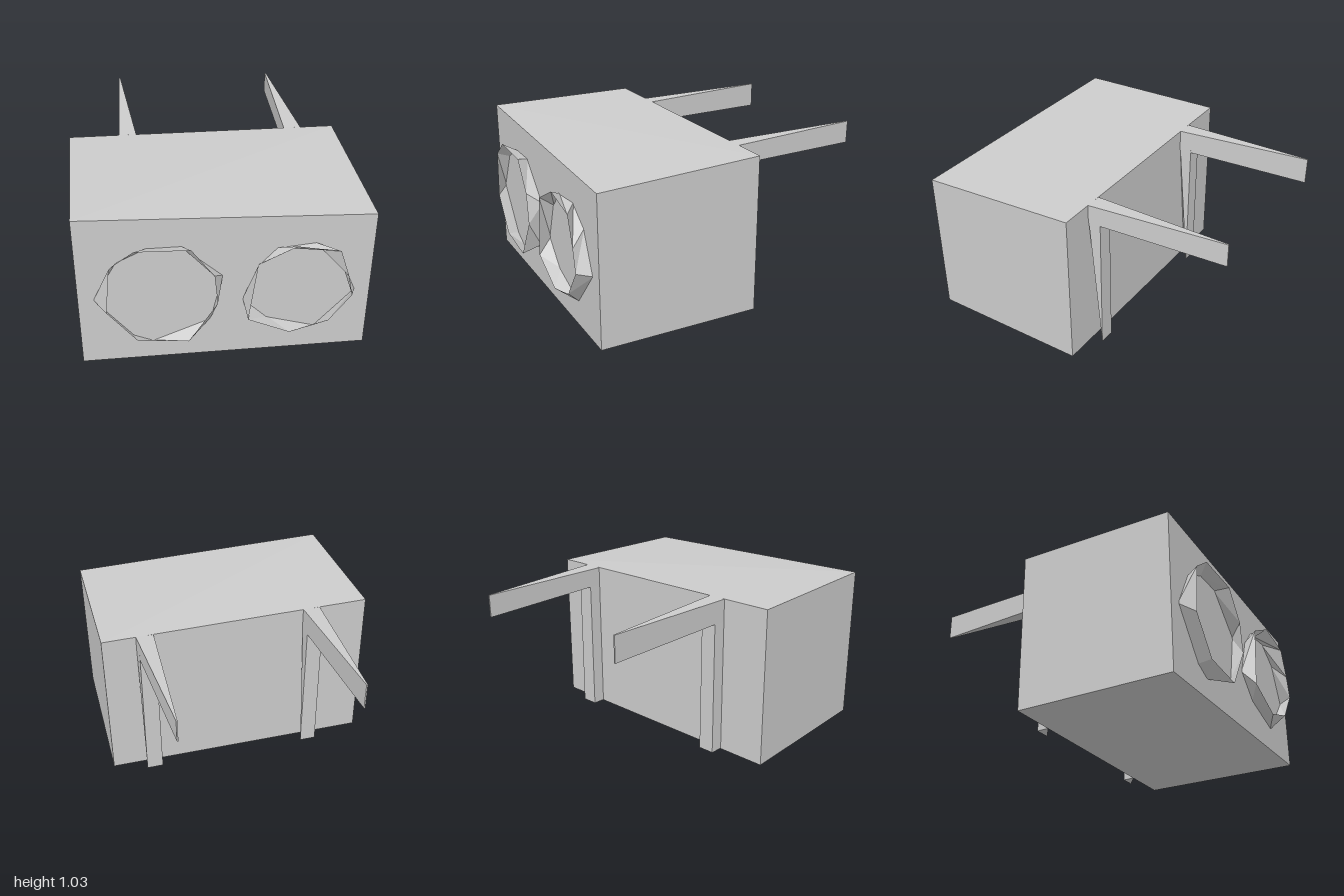
import * as THREE from 'three';

const material = new THREE.MeshStandardMaterial({ color: 0xcccccc, flatShading: true });
const sheet = new THREE.MeshStandardMaterial({ color: 0xcccccc, flatShading: true, side: THREE.DoubleSide });

function addMesh(parent, name, geometry, mat) {
  geometry.computeVertexNormals();
  const mesh = new THREE.Mesh(geometry, mat);
  mesh.name = name;
  parent.add(mesh);
}

// The front panel is slightly skewed in plan
const frontZ = (x) => 0.888 + 0.026 * x;

// Box whose eight corners are placed by a rule
function shapedBox(place) {
  const geometry = new THREE.BoxGeometry(2, 2, 2).toNonIndexed();
  const p = geometry.attributes.position;
  for (let i = 0; i < p.count; i++) p.setXYZ(i, ...place(p.getX(i), p.getY(i), p.getZ(i)));
  return geometry;
}

// Faceted open collar lofted between two outlines of equal length
function collar(base, rim) {
  const points = [];
  const n = base.length;
  const low = ([x, y]) => [x, y, frontZ(x) - 0.005];
  const high = ([x, y]) => [x, y, 0.968 + 0.034 * x];
  for (let i = 0; i < n; i++) {
    const j = (i + 1) % n;
    const a = low(base[i]), b = low(base[j]), c = high(rim[j]), d = high(rim[i]);
    points.push(...a, ...c, ...b, ...a, ...d, ...c);
  }
  const geometry = new THREE.BufferGeometry();
  geometry.setAttribute('position', new THREE.Float32BufferAttribute(points, 3));
  return geometry;
}

export function createModel() {
  const model = new THREE.Group();

  // Main body, its top dipping toward the front left corner
  addMesh(model, 'body', shapedBox((x, y, z) => [
    x * 0.86,
    y < 0 ? (z > 0 ? 0.025 : 0.01) : x < 0 ? 1.033 : z > 0 ? 0.96 : 1.0,
    z > 0 ? frontZ(x * 0.86) : -0.12,
  ]), material);

  // Two open eight-sided collars on the front
  addMesh(model, 'rightCollar', collar(
    [[-0.77, 0.48], [-0.63, 0.73], [-0.45, 0.82], [-0.26, 0.82], [-0.02, 0.6], [-0.09, 0.29], [-0.44, 0.15], [-0.55, 0.2]],
    [[-0.7, 0.44], [-0.67, 0.75], [-0.53, 0.855], [-0.21, 0.845], [-0.08, 0.66], [-0.06, 0.46], [-0.23, 0.19], [-0.53, 0.22]],
  ), sheet);
  addMesh(model, 'leftCollar', collar(
    [[0.1, 0.42], [0.19, 0.66], [0.29, 0.77], [0.51, 0.79], [0.66, 0.69], [0.77, 0.44], [0.54, 0.18], [0.25, 0.27]],
    [[0.12, 0.325], [0.17, 0.72], [0.39, 0.83], [0.64, 0.78], [0.7, 0.6], [0.73, 0.46], [0.6, 0.28], [0.37, 0.21]],
  ), sheet);

  // Rear brackets: a wedge post on the wall and an arm tapering to a thin tip
  for (const [side, cx, wallTop, tipTop] of [['right', -0.49, 1.026, 1.04], ['left', 0.592, 1.005, 1.018]]) {
    const bracket = new THREE.Group();
    bracket.name = side + 'Bracket';
    addMesh(bracket, 'arm', shapedBox((x, y, z) => z > 0
      ? [cx + x * 0.055, y > 0 ? wallTop : 0.885, -0.12]
      : [cx - 0.006 + x * 0.004, y > 0 ? tipTop : 0.875, -1]), material);
    addMesh(bracket, 'post', shapedBox((x, y, z) => [
      cx + x * (z > 0 ? 0.055 : 0.05),
      y > 0 ? 0.93 : 0.012,
      z > 0 && !(x > 0 && y < 0) ? -0.12 : -0.2,
    ]), material);
    model.add(bracket);
  }
  return model;
}
